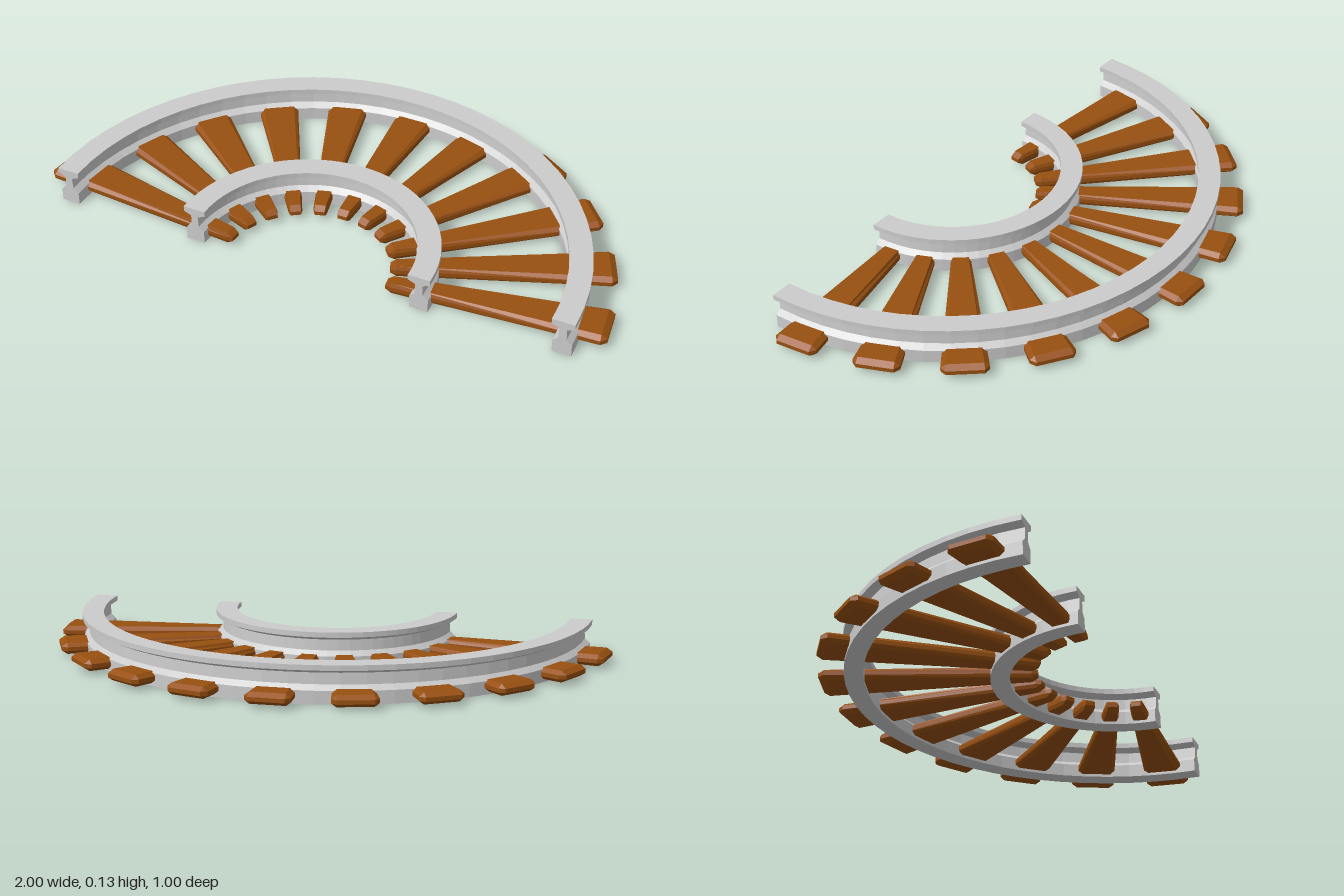
import * as THREE from 'three';

const steel = new THREE.MeshStandardMaterial({ color: 0xcccccc, flatShading: true });
const wood = new THREE.MeshStandardMaterial({ color: 0x985010, flatShading: true });

const TIES = 11;
const STEP = Math.PI / TIES;

// Right half of the rail section: foot, web and flared head
const half = [[0.032, 0], [0.032, 0.045], [0.014, 0.062], [0.012, 0.1], [0.038, 0.112], [0.038, 0.13]];
const section = [...half, ...half.map(([x, y]) => [-x, y]).reverse()];

// Half-circle rail with closed ends
function makeRail(radius, name) {
  const rail = new THREE.Group();
  rail.name = name;
  const profile = [...section, section[0]].map(([x, y]) => new THREE.Vector2(radius + x, y));
  const sweep = new THREE.Mesh(new THREE.LatheGeometry(profile, TIES * 3, Math.PI / 2, Math.PI), steel);
  sweep.name = name + 'Body';
  rail.add(sweep);
  const cap = new THREE.ShapeGeometry(new THREE.Shape(section.map(([x, y]) => new THREE.Vector2(x, y))));
  for (const side of [-1, 1]) {
    const end = new THREE.Mesh(cap, steel);
    end.name = name + 'End';
    end.position.x = side * radius;
    rail.add(end);
  }
  return rail;
}

// Wedge-shaped chamfered tie: octagonal sections along -z, width grows with radius
function makeTieGeometry() {
  const h = 0.02, hIn = 0.007, spread = 0.079, inner = 0.78;
  const octagon = (r, end) => {
    const a = spread * r, b = a * inner;
    const w = end ? b : a, t = end ? hIn : h;
    return [[w, -hIn], [w, hIn], [b, t], [-b, t], [-w, hIn], [-w, -hIn], [-b, -t], [b, -t]]
      .map(([x, y]) => [x, y, -r]);
  };
  const rings = [octagon(0.275, true), octagon(0.295, false), octagon(0.98, false), octagon(1.0, true)];
  const index = [];
  for (let s = 0; s < 3; s++) {
    for (let j = 0; j < 8; j++) {
      const a = s * 8 + j, b = s * 8 + (j + 1) % 8;
      index.push(a, a + 8, b, b, a + 8, b + 8);
    }
  }
  for (let j = 1; j < 7; j++) {
    index.push(0, j, j + 1, 24, 24 + j + 1, 24 + j);
  }
  const geo = new THREE.BufferGeometry();
  geo.setAttribute('position', new THREE.Float32BufferAttribute(rings.flat(2), 3));
  geo.setIndex(index);
  geo.computeVertexNormals();
  return geo;
}

export function createModel() {
  const track = new THREE.Group();
  track.name = 'curvedTrack';

  // Rails share a centre at the front edge
  track.add(makeRail(0.88, 'outerRail'), makeRail(0.4, 'innerRail'));

  // Ties fanned evenly around the bend
  const tieGeometry = makeTieGeometry();
  for (let i = 0; i < TIES; i++) {
    const tie = new THREE.Mesh(tieGeometry, wood);
    tie.name = 'tie' + (i + 1);
    tie.position.y = 0.03;
    tie.rotation.y = (i - (TIES - 1) / 2) * STEP;
    track.add(tie);
  }

  track.position.z = 0.5;
  const model = new THREE.Group();
  model.name = 'railTrackBend';
  model.add(track);
  return model;
}
